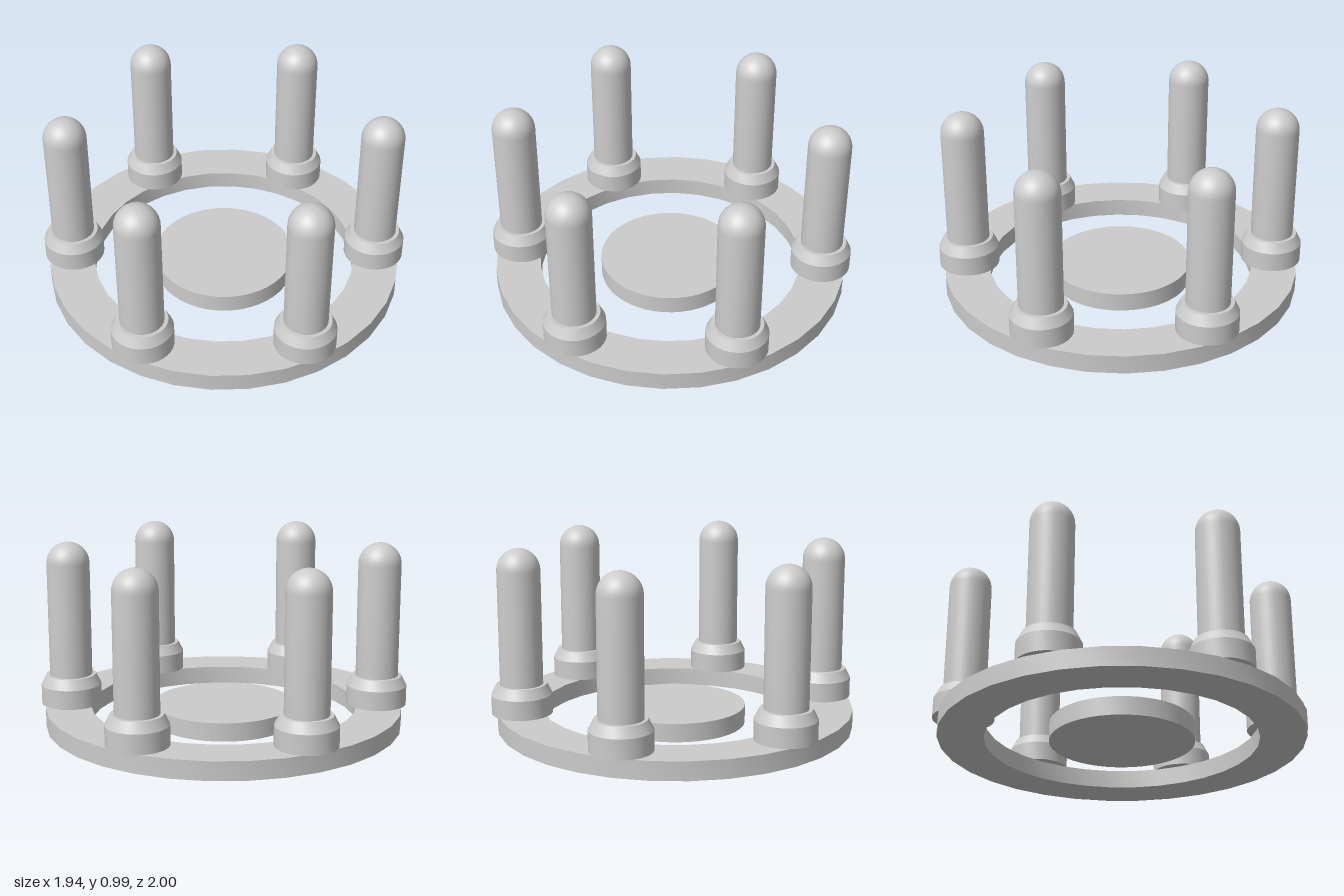
import * as THREE from 'three';
import { toCreasedNormals } from 'three/addons/utils/BufferGeometryUtils.js';

const material = new THREE.MeshStandardMaterial({ color: 0xcccccc });

// Turned solid from [radius, y] pairs, with sharp edges kept
function turned(name, profile, segments) {
  const points = profile.map(([r, y]) => new THREE.Vector2(r, y));
  const geometry = toCreasedNormals(new THREE.LatheGeometry(points, segments), 0.4);
  const mesh = new THREE.Mesh(geometry, material);
  mesh.name = name;
  return mesh;
}

export function createModel() {
  const model = new THREE.Group();
  model.name = 'pegRing';
  const thickness = 0.1;

  // Flat base ring and the loose disc in its middle
  model.add(turned('baseRing', [
    [0.725, 0], [0.97, 0], [0.97, thickness], [0.725, thickness], [0.725, 0],
  ], 32));
  model.add(turned('centreDisc', [
    [0, 0], [0.385, 0], [0.385, thickness], [0, thickness],
  ], 48));

  // Peg: straight shaft with a hemispherical top
  const pegRadius = 0.115, domeBase = 0.875, domeSteps = 10;
  const pegProfile = [[0, thickness], [pegRadius, thickness]];
  for (let i = 0; i <= domeSteps; i++) {
    const a = (i / domeSteps) * Math.PI / 2;
    pegProfile.push([
      i === domeSteps ? 0 : pegRadius * Math.cos(a),
      domeBase + pegRadius * Math.sin(a),
    ]);
  }

  // Collar: short drum with a chamfered shoulder
  const collarProfile = [
    [0, thickness], [0.163, thickness], [0.163, 0.205], [0.135, 0.26], [0, 0.26],
  ];

  // Six pegs evenly spaced around the ring
  const post = new THREE.Group();
  post.add(turned('collar', collarProfile, 32), turned('peg', pegProfile, 32));
  for (let i = 0; i < 6; i++) {
    const a = (i * Math.PI) / 3;
    const copy = post.clone();
    copy.name = `post${i + 1}`;
    copy.position.set(0.836 * Math.sin(a), 0, 0.836 * Math.cos(a));
    model.add(copy);
  }
  return model;
}
